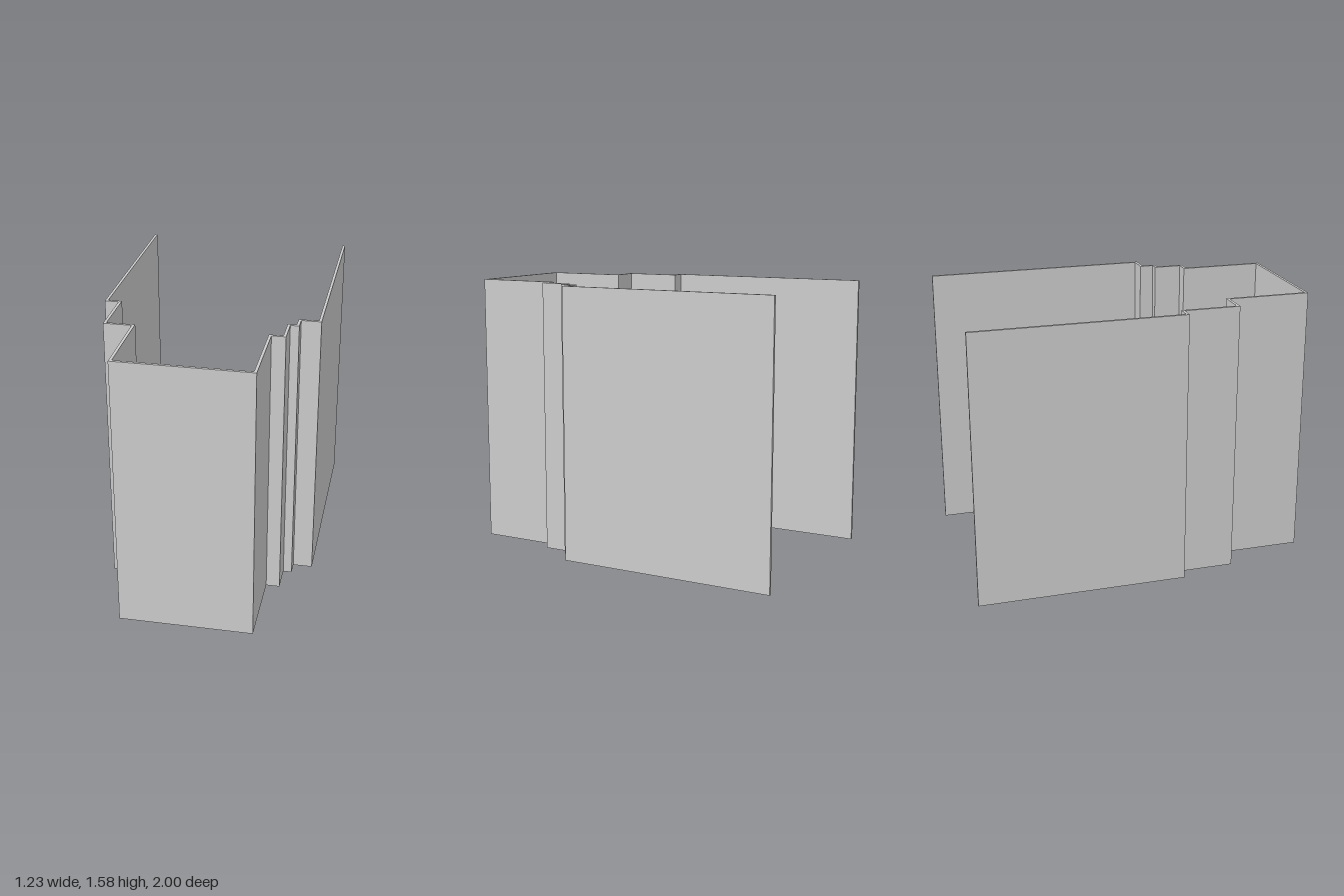
import * as THREE from 'three';

const HEIGHT = 1.58;
const THICKNESS = 0.016;

// Outer face of the wall in plan as [x, z]: left-hand edge, front, right-hand edge
const OUTLINE = [
  [-0.617, -1], [-0.617, 0.205], [-0.538, 0.205], [-0.538, 0.525], [-0.379, 0.525],
  [-0.379, 1], [0.379, 1],
  [0.379, 0.525], [0.457, 0.525], [0.457, 0.365], [0.506, 0.365],
  [0.506, 0.285], [0.617, 0.285], [0.617, -1],
];

// Shift each corner inward by the wall thickness along its neighbouring segments' normals
function offsetInward(points, t) {
  const normals = points.slice(1).map(([x, z], i) => {
    const dx = x - points[i][0], dz = z - points[i][1];
    return [Math.sign(dz), -Math.sign(dx)];
  });
  return points.map(([x, z], i) => {
    const a = normals[i - 1] ?? [0, 0], b = normals[i] ?? [0, 0];
    return [x + t * (a[0] + b[0]), z + t * (a[1] + b[1])];
  });
}

export function createModel() {
  const group = new THREE.Group();
  group.name = 'steppedScreen';

  // Closed plan of the thin wall, extruded upward
  const plan = [...OUTLINE, ...offsetInward(OUTLINE, THICKNESS).reverse()];
  const shape = new THREE.Shape(plan.map(([x, z]) => new THREE.Vector2(x, -z)));
  const geometry = new THREE.ExtrudeGeometry(shape, { depth: HEIGHT, bevelEnabled: false });
  geometry.rotateX(-Math.PI / 2);

  const wall = new THREE.Mesh(geometry, new THREE.MeshStandardMaterial({ color: 0xcccccc }));
  wall.name = 'steppedWall';
  group.add(wall);
  return group;
}
